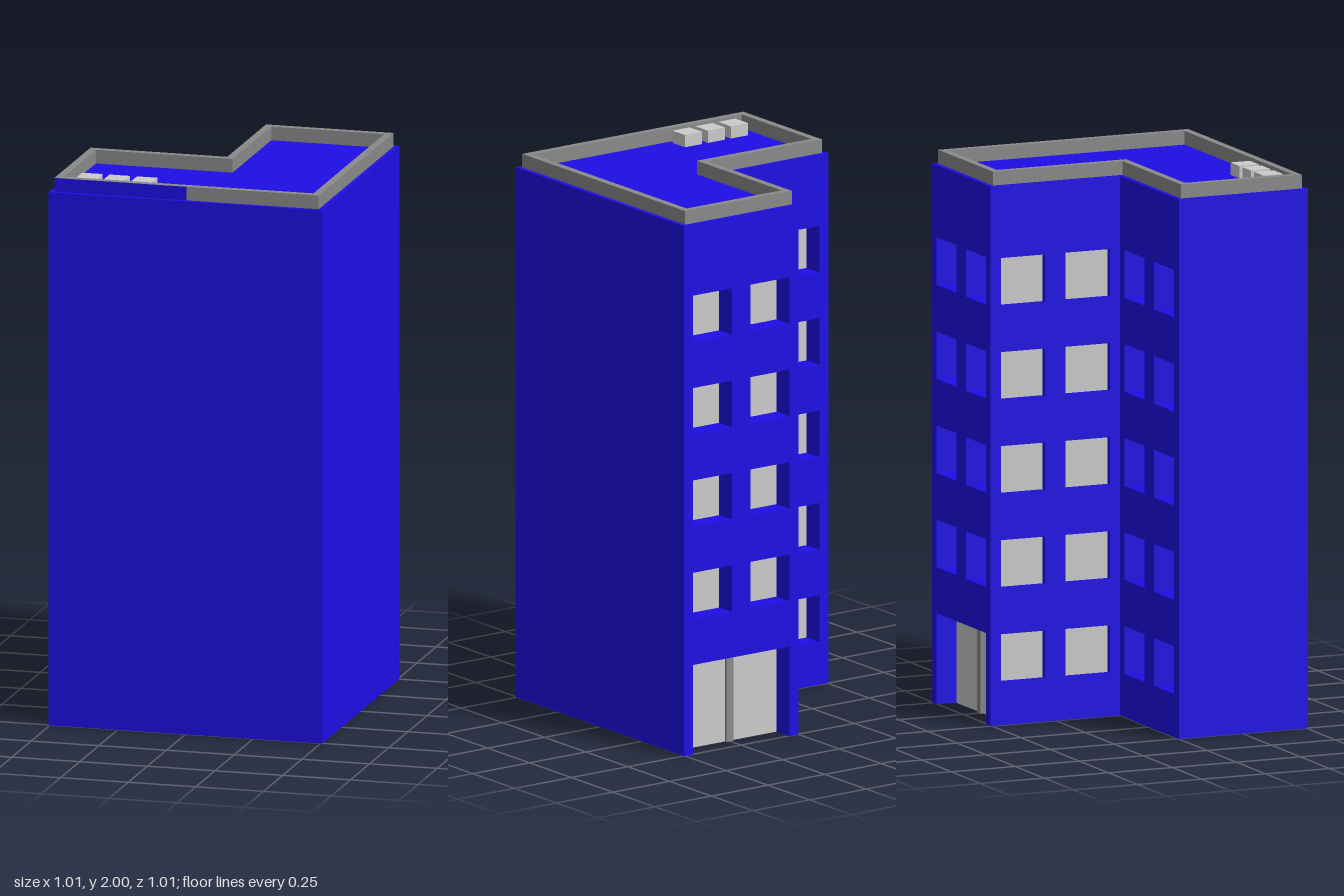
import * as THREE from 'three';

const blue = new THREE.MeshStandardMaterial({ color: 0x1e0ee6 });
const stone = new THREE.MeshStandardMaterial({ color: 0x8a8a8a });
const grey = new THREE.MeshStandardMaterial({ color: 0xcccccc });

const H = 1.95;          // wall height
const E = 0.505;         // half the footprint
const DEPTH = 0.08;      // window recess
const WIN = 0.172;       // window size
const COLS = [0.126, 0.379];
const ROWS = [0, 1, 2, 3, 4].map((i) => 0.243 + i * 0.34);

// Box given by its minimum and maximum corners
function box(name, mat, [x0, y0, z0], [x1, y1, z1]) {
  const mesh = new THREE.Mesh(new THREE.BoxGeometry(x1 - x0, y1 - y0, z1 - z0), mat);
  mesh.position.set((x0 + x1) / 2, (y0 + y1) / 2, (z0 + z1) / 2);
  mesh.name = name;
  return mesh;
}

function polygon(points, Type = THREE.Shape) {
  return new Type(points.map(([x, y]) => new THREE.Vector2(x, y)));
}

// Centres of the window openings
function windowCentres(rows, sign = 1) {
  return rows.flatMap((y) => COLS.map((u) => [u * sign, y]));
}

// Upright wall with square openings, extruded along +z
function wall(name, outline, centres, depth) {
  const shape = polygon(outline);
  const h = WIN / 2;
  for (const [u, y] of centres) {
    shape.holes.push(polygon([[u - h, y - h], [u - h, y + h], [u + h, y + h], [u + h, y - h]], THREE.Path));
  }
  const mesh = new THREE.Mesh(new THREE.ExtrudeGeometry(shape, { depth, bevelEnabled: false }), blue);
  mesh.name = name;
  return mesh;
}

// Panes set behind the openings of a wall
function panes(centres, depth) {
  const group = new THREE.Group();
  group.name = 'windowPanes';
  const h = WIN / 2;
  for (const [u, y] of centres) {
    group.add(box('pane', grey, [u - h, y - h, depth], [u + h, y + h, depth + 0.01]));
  }
  return group;
}

// L-shaped outline in plan, inset from the walls (y = -z)
function planOutline(inset) {
  const o = E - inset;
  return [[-o, -o], [o, -o], [o, o], [inset, o], [inset, -inset], [-o, -inset]];
}

export function createModel() {
  const model = new THREE.Group();
  model.name = 'apartmentBuilding';

  // Front block
  model.add(box('frontBlock', blue, [-E, 0, DEPTH], [E, H, E]));
  const courtCentres = windowCentres(ROWS, -1);
  const court = new THREE.Group();
  court.name = 'courtFacade';
  court.add(wall('courtWall', [[-E, 0], [E, 0], [E, H], [-E, H]], courtCentres, DEPTH));
  court.add(panes(courtCentres, DEPTH - 0.002));
  model.add(court);

  // Rear wing end wall with the entrance cut out at ground level
  const doorL = COLS[0] - WIN / 2, doorR = COLS[1] + WIN / 2, doorTop = 0.33;
  const skin = 0.02;
  const endCentres = windowCentres(ROWS.slice(1));
  const end = new THREE.Group();
  end.name = 'entranceFacade';
  end.add(wall('entranceWall', [
    [skin, 0], [doorL, 0], [doorL, doorTop], [doorR, doorTop],
    [doorR, 0], [E, 0], [E, H], [skin, H],
  ], endCentres, DEPTH));
  end.add(panes(endCentres, DEPTH - 0.002));

  // Double door with a centre post
  const mid = (doorL + doorR) / 2;
  end.add(box('doorLeafRight', grey, [doorL, 0, DEPTH - 0.002], [mid - 0.015, doorTop, DEPTH + 0.01]));
  end.add(box('doorLeafLeft', grey, [mid + 0.015, 0, DEPTH - 0.002], [doorR, doorTop, DEPTH + 0.01]));
  end.add(box('doorPost', stone, [mid - 0.015, 0, DEPTH - 0.012], [mid + 0.015, doorTop, DEPTH + 0.01]));
  end.position.z = -E;
  model.add(end);

  // Rear wing side wall facing the court
  const sideCentres = windowCentres(ROWS);
  const side = new THREE.Group();
  side.name = 'sideFacade';
  side.add(wall('sideWall', [[0, 0], [E, 0], [E, H], [0, H]], sideCentres, skin));
  side.add(panes(sideCentres, skin - 0.001));
  side.rotation.y = Math.PI / 2;
  model.add(side);

  // Rear wing outer wall and roof, open underneath
  model.add(box('wingOuterWall', blue, [E - skin, 0, DEPTH - E], [E, H, 0]));
  model.add(box('wingRoof', blue, [skin, H - 0.05, DEPTH - E], [E - skin, H, 0]));

  // Parapet around the roof
  const ring = polygon(planOutline(0.017));
  ring.holes.push(polygon(planOutline(0.044), THREE.Path));
  const parapetGeo = new THREE.ExtrudeGeometry(ring, { depth: 0.05, bevelEnabled: false });
  parapetGeo.rotateX(-Math.PI / 2);
  const parapet = new THREE.Mesh(parapetGeo, stone);
  parapet.name = 'parapet';
  parapet.position.y = H;
  model.add(parapet);

  // Painted half of the parapet's front
  model.add(box('parapetFrontPanel', blue, [-0.488, H, 0.487], [0, H + 0.0495, 0.489]));

  // Rooftop units
  for (let i = 0; i < 3; i++) {
    const x = -0.42 + i * 0.101;
    model.add(box('rooftopUnit', grey, [x, H, 0.367], [x + 0.076, H + 0.045, 0.443]));
  }
  return model;
}
